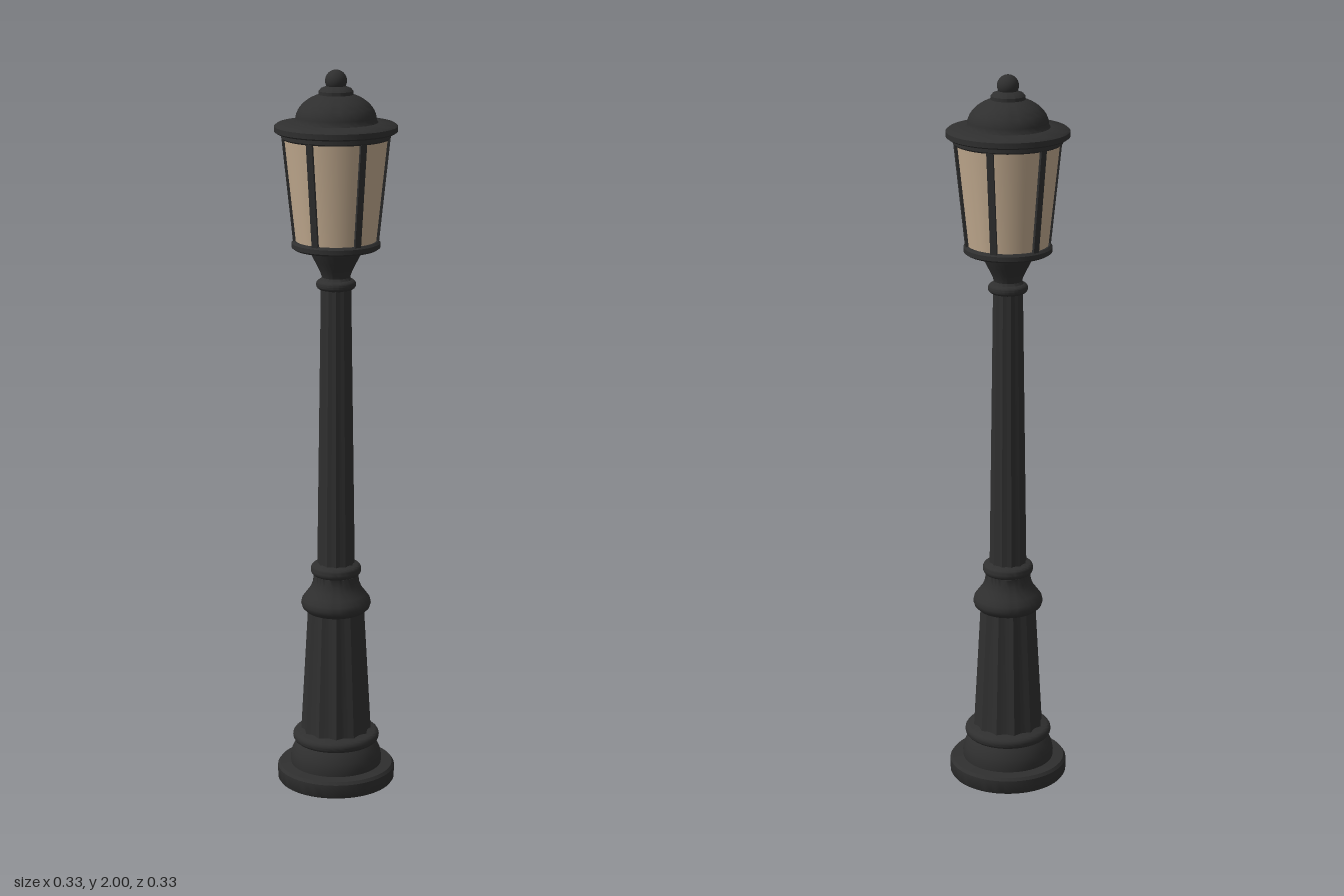
import * as THREE from 'three';
import { toCreasedNormals } from 'three/addons/utils/BufferGeometryUtils.js';

const iron = new THREE.MeshStandardMaterial({ color: 0x2f2f2f });
iron.name = 'dark iron';
const glass = new THREE.MeshStandardMaterial({ color: 0xc0a98e, side: THREE.DoubleSide });
glass.name = 'warm glass';

// Turned part from [radius, height] pairs, bottom to top
function turned(name, profile, material = iron, segments = 64) {
  const points = profile.map(([r, y]) => new THREE.Vector2(r, y));
  const geometry = toCreasedNormals(new THREE.LatheGeometry(points, segments), 0.6);
  const mesh = new THREE.Mesh(geometry, material);
  mesh.name = name;
  return mesh;
}

// Half-round bead profile between two heights
function bead(inner, outer, y0, y1, steps = 8) {
  const points = [];
  for (let i = 0; i <= steps; i++) {
    const a = (i / steps) * Math.PI;
    points.push([inner + (outer - inner) * Math.sin(a), (y0 + y1) / 2 - ((y1 - y0) / 2) * Math.cos(a)]);
  }
  return points;
}

// Tapered shaft with shallow scooped flutes
function flutedShaft(name, r0, y0, r1, y1, flutes, depth) {
  const points = [new THREE.Vector2(r0, y0), new THREE.Vector2(r1, y1)];
  const geometry = new THREE.LatheGeometry(points, flutes * 8);
  const p = geometry.attributes.position;
  for (let i = 0; i < p.count; i++) {
    const a = Math.atan2(p.getX(i), p.getZ(i));
    const k = 1 - depth * Math.abs(Math.sin((a * flutes) / 2));
    p.setXYZ(i, p.getX(i) * k, p.getY(i), p.getZ(i) * k);
  }
  const mesh = new THREE.Mesh(toCreasedNormals(geometry, 0.35), iron);
  mesh.name = name;
  return mesh;
}

export function createModel() {
  const group = new THREE.Group();
  group.name = 'streetLamp';

  // Stepped foot
  group.add(turned('foot', [
    [0, 0], [0.16, 0], [0.164, 0.006], [0.164, 0.04], [0.158, 0.048], [0.127, 0.05],
    [0.128, 0.065], [0.124, 0.085], [0.115, 0.105], [0.108, 0.115],
    ...bead(0.108, 0.121, 0.115, 0.145), [0.09, 0.15],
  ]));

  // Pedestal and its bulging cap
  group.add(flutedShaft('pedestal', 0.098, 0.145, 0.078, 0.505, 12, 0.07));
  group.add(turned('pedestalCap', [
    [0.07, 0.495], [0.082, 0.5], [0.093, 0.51], [0.097, 0.522], [0.094, 0.535],
    [0.083, 0.55], [0.071, 0.566], [0.064, 0.584], [0.062, 0.605],
    ...bead(0.06, 0.07, 0.605, 0.635), [0.045, 0.64],
  ]));

  // Post and neck flaring into the lantern
  group.add(flutedShaft('post', 0.052, 0.632, 0.041, 1.415, 12, 0.06));
  group.add(turned('neck', [
    [0.038, 1.41], ...bead(0.042, 0.054, 1.412, 1.438), [0.038, 1.445],
    [0.041, 1.455], [0.048, 1.47], [0.057, 1.488], [0.066, 1.505], [0.074, 1.525],
  ]));

  // Lantern floor, glass and top ring
  group.add(turned('lanternFloor', [
    [0, 1.522], [0.112, 1.522], [0.119, 1.527], [0.119, 1.539], [0.113, 1.545], [0, 1.545],
  ]));
  group.add(turned('glass', [[0.108, 1.543], [0.138, 1.825]], glass));
  group.add(turned('topRing', [
    [0, 1.818], [0.142, 1.818], [0.146, 1.822], [0.146, 1.84], [0, 1.84],
  ]));

  // Six leaning bars over the glass
  const lean = Math.atan2(0.03, 0.282);
  for (let i = 0; i < 6; i++) {
    const spoke = new THREE.Group();
    spoke.name = 'glazingBar' + (i + 1);
    spoke.rotation.y = (i * Math.PI) / 3;
    const bar = new THREE.Mesh(new THREE.BoxGeometry(0.014, 0.288, 0.018), iron);
    bar.name = 'bar';
    bar.position.set(0.123, 1.684, 0);
    bar.rotation.z = -lean;
    spoke.add(bar);
    group.add(spoke);
  }

  // Brimmed domed roof
  const dome = [];
  for (let i = 0; i <= 10; i++) {
    const a = (i / 10) * 1.13;
    dome.push([0.108 * Math.cos(a), 1.868 + 0.074 * Math.sin(a)]);
  }
  group.add(turned('roof', [
    [0, 1.834], [0.158, 1.834], [0.164, 1.838], [0.164, 1.852], [0.158, 1.857],
    [0.112, 1.862], ...dome, [0.046, 1.944], [0.04, 1.951], [0.028, 1.956], [0.016, 1.96], [0, 1.962],
  ]));

  // Ball finial
  const finial = new THREE.Mesh(new THREE.SphereGeometry(0.029, 32, 20), iron);
  finial.name = 'finial';
  finial.position.y = 1.971;
  group.add(finial);

  return group;
}
